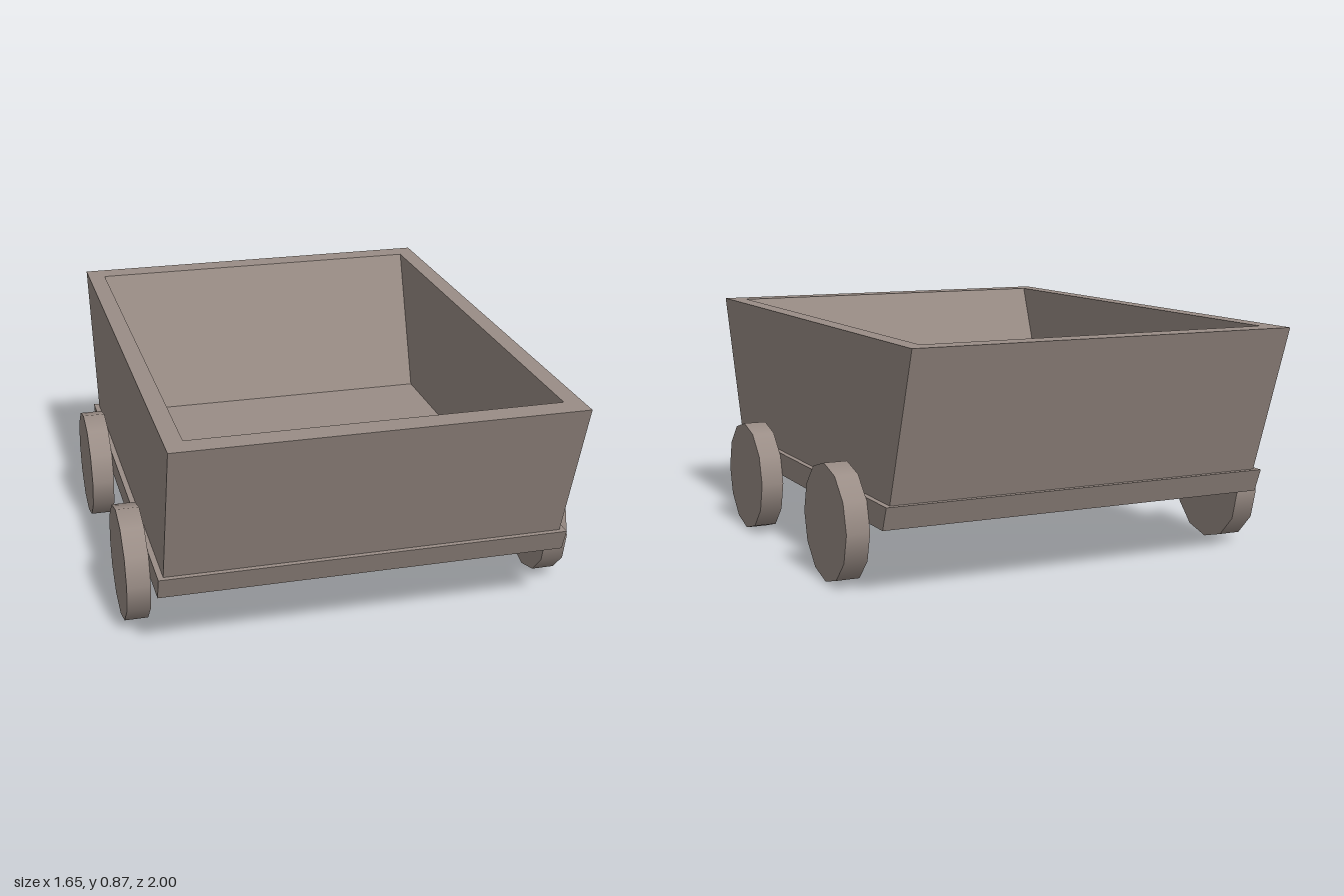
import * as THREE from 'three';

const material = new THREE.MeshStandardMaterial({ color: 0x9a8d86 });

// Skins a chain of rectangular rings [halfX, y, halfZ], capping the first and last.
function loftRects(rings) {
  const signs = [[1, 1], [1, -1], [-1, -1], [-1, 1]];
  const loops = rings.map(([hx, y, hz]) => signs.map(([sx, sz]) => [sx * hx, y, sz * hz]));
  const pos = [];
  const quad = (a, b, c, d) => pos.push(...a, ...b, ...c, ...a, ...c, ...d);
  for (let r = 0; r < loops.length - 1; r++) {
    for (let i = 0; i < 4; i++) {
      const j = (i + 1) % 4;
      quad(loops[r][i], loops[r][j], loops[r + 1][j], loops[r + 1][i]);
    }
  }
  const first = loops[0];
  quad(first[3], first[2], first[1], first[0]);
  quad(...loops[loops.length - 1]);
  const geometry = new THREE.BufferGeometry();
  geometry.setAttribute('position', new THREE.Float32BufferAttribute(pos, 3));
  geometry.computeVertexNormals();
  return geometry;
}

function addPart(group, name, geometry) {
  const mesh = new THREE.Mesh(geometry, material);
  mesh.name = name;
  group.add(mesh);
  return mesh;
}

export function createModel() {
  const cart = new THREE.Group();
  cart.name = 'cart';

  // Open tub: up the outside, across the rim, down the inside to the floor
  addPart(cart, 'tub', loftRects([
    [0.72, 0.325, 0.805],
    [0.72, 0.865, 1.0],
    [0.655, 0.865, 0.91],
    [0.65, 0.33, 0.7],
  ]));

  // Chassis plate with ends sloped like the tub
  addPart(cart, 'chassis', loftRects([
    [0.74, 0.24, 0.79],
    [0.74, 0.325, 0.825],
  ]));

  // Four twelve-sided wheels, set against the chassis sides
  const wheelGeometry = new THREE.CylinderGeometry(0.21, 0.21, 0.085, 12);
  wheelGeometry.rotateZ(Math.PI / 2);
  for (const [end, z] of [['front', 0.435], ['back', -0.47]]) {
    for (const [side, sx] of [['Left', 1], ['Right', -1]]) {
      const wheel = addPart(cart, `${end}${side}Wheel`, wheelGeometry);
      wheel.position.set(sx * 0.7825, 0.21, z);
    }
  }

  return cart;
}
